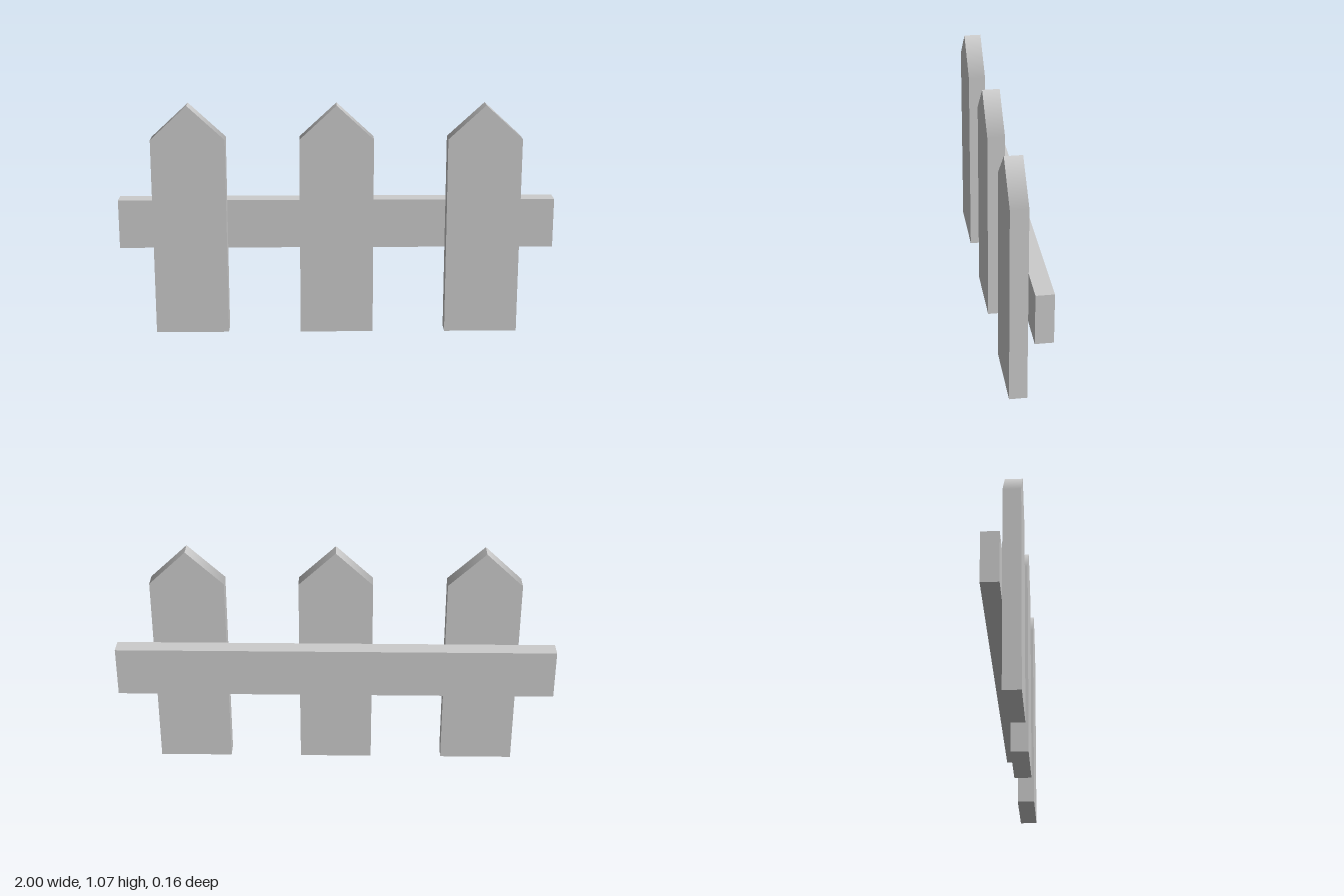
import * as THREE from 'three';

export function createModel() {
  const fence = new THREE.Group();
  fence.name = 'fence';
  const paint = new THREE.MeshStandardMaterial({ name: 'lightGrey', color: 0xcccccc });

  const halfWidth = 0.167, shoulder = 0.91, peak = 1.065, depth = 0.078;

  // Pointed picket board
  const outline = new THREE.Shape([
    new THREE.Vector2(-halfWidth, 0),
    new THREE.Vector2(halfWidth, 0),
    new THREE.Vector2(halfWidth, shoulder),
    new THREE.Vector2(0, peak),
    new THREE.Vector2(-halfWidth, shoulder),
  ]);
  const picketGeometry = new THREE.ExtrudeGeometry(outline, { depth, bevelEnabled: false });

  // Blend the sloped tips smoothly into the sides at the shoulders
  const { position, normal } = picketGeometry.attributes;
  for (let i = 0; i < position.count; i++) {
    if (normal.getY(i) > 0.1 && position.getY(i) < shoulder + 0.01) {
      normal.setXYZ(i, Math.sign(position.getX(i)), 0, 0);
    }
  }

  // Three evenly spaced pickets
  ['rightPicket', 'middlePicket', 'leftPicket'].forEach((name, i) => {
    const picket = new THREE.Mesh(picketGeometry, paint);
    picket.name = name;
    picket.position.x = (i - 1) * 0.667;
    fence.add(picket);
  });

  // Cross rail behind the pickets
  const rail = new THREE.Mesh(new THREE.BoxGeometry(2, 0.227, depth), paint);
  rail.name = 'rail';
  rail.position.set(0, 0.499, -depth / 2);
  fence.add(rail);

  return fence;
}
